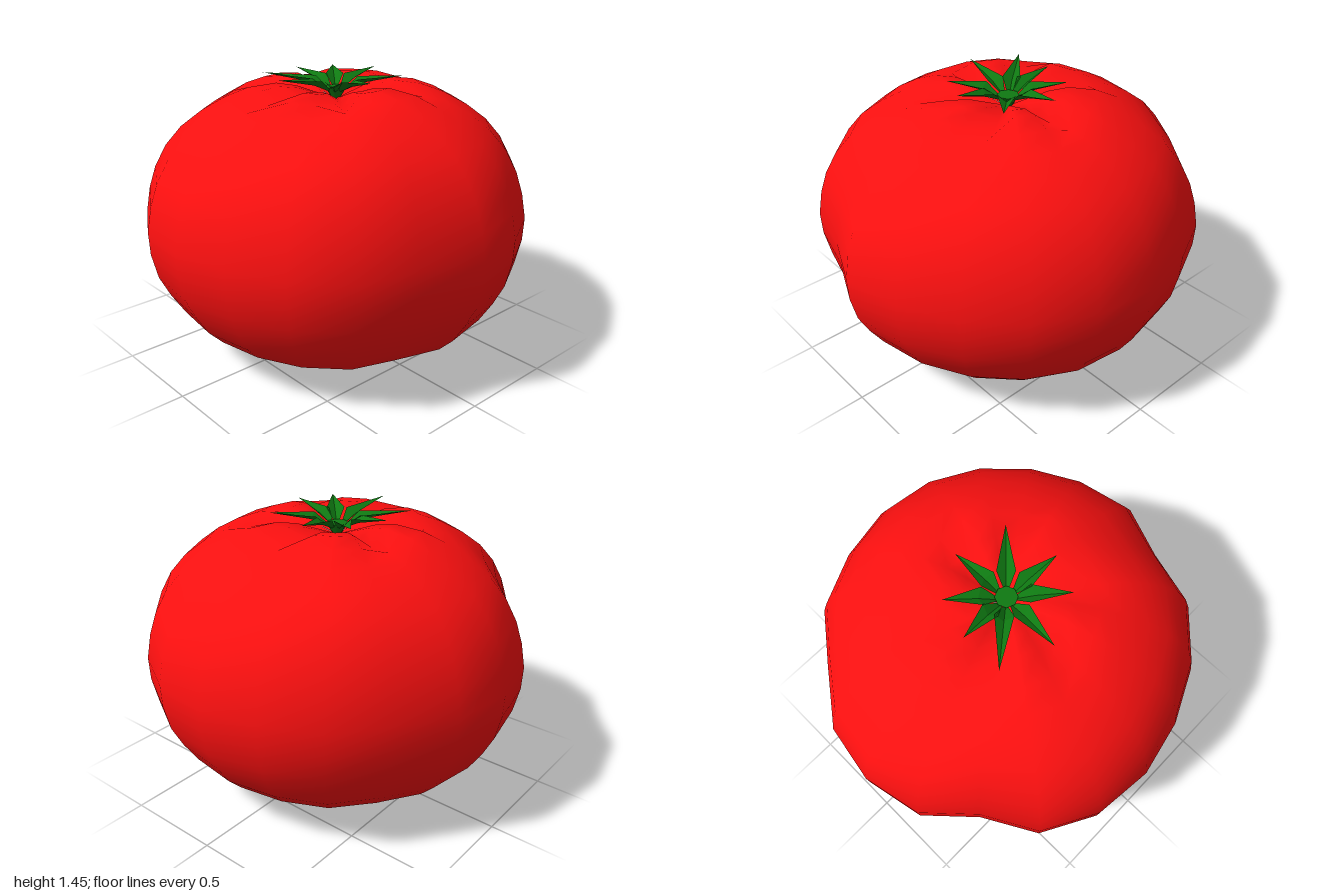
import * as THREE from 'three';
import { mergeVertices } from 'three/addons/utils/BufferGeometryUtils.js';

// Body profile (radius, height) from the bottom dimple to the stem pit
const PROFILE = [
  [0, 0.04], [0.06, 0.022], [0.15, 0.006], [0.33, 0.02], [0.5, 0.075], [0.64, 0.14], [0.76, 0.21], [0.84, 0.29],
  [0.91, 0.4], [0.965, 0.51], [0.995, 0.64], [1, 0.76], [0.975, 0.89], [0.937, 1.0], [0.875, 1.11],
  [0.79, 1.205], [0.68, 1.285], [0.56, 1.35], [0.44, 1.395], [0.3, 1.415], [0.2, 1.4], [0.1, 1.365], [0, 1.33],
];

// Lobed outline: one radius per meridian, anticlockwise from +x seen from above
const LOBES = [
  1, 0.985, 0.98, 0.985, 0.995, 0.985, 0.97, 0.98, 0.94, 0.995,
  1, 0.985, 0.9, 0.985, 0.995, 0.98, 0.965, 0.975, 0.985, 0.92,
];

// Meridians with a crease running out of the stem pit
const CREASES = [2, 5, 9, 12, 15, 18];

// Leaf tips (x, z) and tip heights
const TIPS = [
  [0.29, 0.04, 1.455], [0.24, -0.24, 1.45], [-0.03, -0.3, 1.45], [-0.23, -0.18, 1.445],
  [-0.29, 0.02, 1.45], [-0.29, 0.24, 1.45], [-0.04, 0.335, 1.46], [0.21, 0.22, 1.45],
];

function bodyGeometry() {
  const n = LOBES.length, pos = [], index = [];
  PROFILE.forEach(([r, y], j) => {
    for (let i = 0; i < n; i++) {
      const a = (i / n) * Math.PI * 2;
      const radius = r * (1 + (LOBES[i] - 1) * r * r);
      const top = y > 0.8 ? Math.exp(-(((r - 0.3) / 0.17) ** 2)) : 0;
      const crease = CREASES.includes(i) ? 0.07 * top : 0;
      pos.push(Math.cos(a) * radius, y - crease, -Math.sin(a) * radius);
      if (j === PROFILE.length - 1) continue;
      const k = (i + 1) % n;
      const p = j * n + i, q = j * n + k, s = p + n, t = q + n;
      if (j > 0) index.push(p, q, t);
      else index.push(p, t, s);
      if (j > 0 && j < PROFILE.length - 2) index.push(p, t, s);
    }
  });
  const geo = new THREE.BufferGeometry();
  geo.setAttribute('position', new THREE.Float32BufferAttribute(pos, 3));
  geo.setIndex(index);
  const merged = mergeVertices(geo, 1e-4);
  merged.computeVertexNormals();
  return merged;
}

// A pointed leaf folded along its midrib, running along +x from the stem pit
function leafGeometry(length, tipY) {
  const root = [0.02, 1.36, 0], rib = [0.13, 1.41, 0], tip = [length, tipY, 0];
  const left = [0.11, 1.435, -0.045], right = [0.11, 1.435, 0.045];
  const faces = [root, rib, left, root, right, rib, rib, tip, left, rib, right, tip];
  const geo = new THREE.BufferGeometry();
  geo.setAttribute('position', new THREE.Float32BufferAttribute(faces.flat(), 3));
  geo.computeVertexNormals();
  return geo;
}

export function createModel() {
  const group = new THREE.Group();
  group.name = 'tomato';

  const body = new THREE.Mesh(bodyGeometry(), new THREE.MeshStandardMaterial({ color: 0xff1010 }));
  body.name = 'body';
  group.add(body);

  const green = new THREE.MeshStandardMaterial({ color: 0x0f7a12, side: THREE.DoubleSide });
  const calyx = new THREE.Group();
  calyx.name = 'calyx';
  TIPS.forEach(([x, z, y]) => {
    const leaf = new THREE.Mesh(leafGeometry(Math.hypot(x, z), y), green);
    leaf.name = 'leaf';
    leaf.rotation.y = Math.atan2(-z, x);
    calyx.add(leaf);
  });

  // Small hub joining the leaves at the stem pit
  const hub = new THREE.Mesh(new THREE.CylinderGeometry(0.055, 0.02, 0.06, 8), green);
  hub.name = 'hub';
  hub.position.y = 1.36;
  calyx.add(hub);
  group.add(calyx);

  return group;
}
